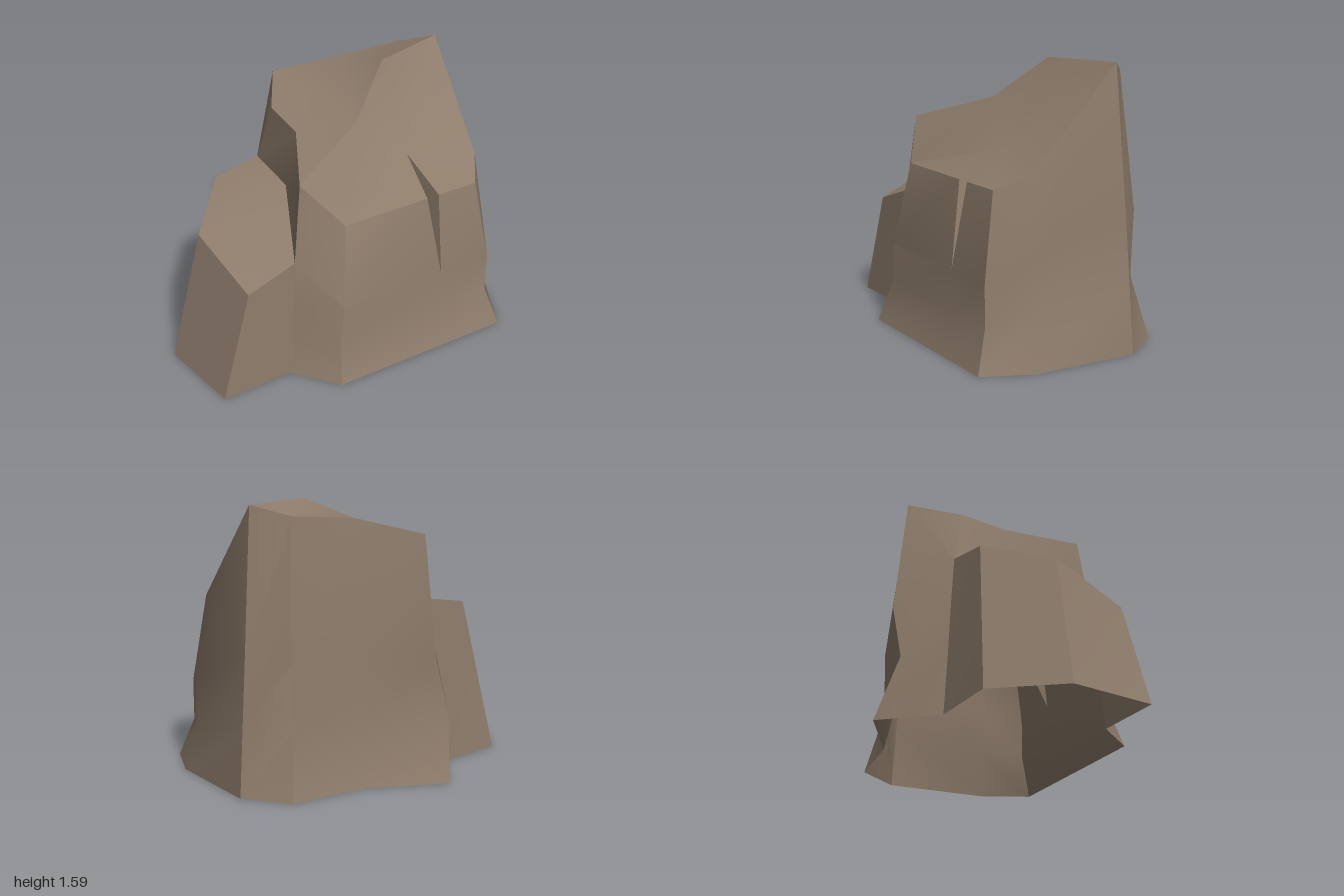
import * as THREE from 'three';
import { toCreasedNormals } from 'three/addons/utils/BufferGeometryUtils.js';

const stone = new THREE.MeshStandardMaterial({ color: 0x8e7c6b, side: THREE.DoubleSide });
stone.name = 'stone';

// Rock edges as columns of [x, y, z] points, from the ground to the rim
const frontLeft = [[-0.30, 0, 0.72], [-0.26, 0.23, 0.64], [-0.24, 0.47, 0.64], [-0.18, 0.95, 0.55]];
const crackFoot = [[0.43, 0, 0.72], [0.43, 0.23, 0.64], [0.43, 0.47, 0.64]];
const crackLeft = [...crackFoot, [0.37, 0.95, 0.55]];
const crackRight = [...crackFoot, [0.45, 0.95, 0.55]];
const frontRight = [[0.83, 0, 0.72], [0.77, 0.23, 0.64], [0.77, 0.47, 0.64], [0.71, 0.95, 0.55]];
const sideFront = [[0.96, 0, 0.45], [0.89, 0.26, 0.42], [0.89, 0.58, 0.41], [0.83, 1.03, 0.38]];
const sideBack = [[1.0, 0, -0.17], [0.97, 0.38, -0.16], [0.94, 0.75, -0.15], [0.87, 1.59, -0.12]];
const backRight = [[0.83, 0, -0.42], [0.76, 0.37, -0.33], [0.77, 0.75, -0.34], [0.71, 1.53, -0.27]];
const backMiddle = [[0.38, 0, -0.48], [0.36, 0.37, -0.40], [0.37, 0.73, -0.41], [0.34, 1.50, -0.34]];
const backLeft = [[-0.05, 0, -0.72], [-0.14, 0.36, -0.61], [-0.03, 0.70, -0.62], [-0.01, 1.40, -0.54]];
const jointBack = [[-0.30, 0, -0.42], [-0.28, 0.36, -0.39], [-0.26, 0.70, -0.365], [-0.24, 0.98, -0.34], [-0.18, 1.32, -0.26]];
const jointMiddle = [[-0.24, 0.95, 0], [-0.18, 1.29, 0.02]];
const jointFront = [[-0.50, 0, 0.47], [-0.48, 0.23, 0.46], [-0.46, 0.47, 0.45], [-0.44, 0.73, 0.44], [-0.38, 1.19, 0.40]];

// Outer corners of the low boulder
const ledgeBack = [[-0.73, 0, -0.40], [-0.53, 0.93, -0.32]];
const ledgeSide = [[-1.0, 0, -0.03], [-0.81, 0.80, 0]];
const ledgeFront = [[-0.93, 0, 0.48], [-0.74, 0.63, 0.45]];

// Points inside the sloping top
const peak = [0.41, 1.585, 0];
const ridge = [0.12, 1.34, 0.18];
const crackTip = [0.41, 1.10, 0.28];

const rim = (column) => column[column.length - 1];

// Triangles between two columns, going counterclockwise around the rock
function wall(a, b) {
  const tris = [];
  let i = 0, j = 0;
  while (i < a.length - 1 || j < b.length - 1) {
    const stepB = j < b.length - 1 && j / (b.length - 1) <= i / (a.length - 1);
    if (stepB) { tris.push([a[i], b[j], b[j + 1]]); j++; }
    else { tris.push([a[i], b[j], a[i + 1]]); i++; }
  }
  return tris;
}

function walls(columns) {
  return columns.slice(1).flatMap((column, i) => wall(columns[i], column));
}

function fan(center, points) {
  return points.slice(1).map((p, i) => [center, points[i], p]);
}

function rockMesh(name, tris) {
  const geometry = new THREE.BufferGeometry();
  geometry.setAttribute('position', new THREE.Float32BufferAttribute(tris.flat(2), 3));
  const mesh = new THREE.Mesh(toCreasedNormals(geometry, 0.6), stone);
  mesh.name = name;
  return mesh;
}

export function createModel() {
  const group = new THREE.Group();
  group.name = 'rock';

  const [A, L, R, B, C, D, E, F, G, H, M, I] = [frontLeft, crackLeft, crackRight, frontRight, sideFront,
    sideBack, backRight, backMiddle, backLeft, jointBack, jointMiddle, jointFront].map(rim);

  // Tall boulder: open below and where the low boulder joins it
  group.add(rockMesh('tallBoulder', [
    ...walls([jointFront, frontLeft, crackLeft]),
    ...walls([crackRight, frontRight, sideFront, sideBack, backRight, backMiddle, backLeft, jointBack]),
    ...walls([jointBack.slice(3), jointMiddle, jointFront.slice(3)]),
    // sloping top
    ...fan(crackTip, [R, B, C, D, peak, ridge, A, L]),
    ...fan(peak, [D, E, F, ridge]),
    ...fan(ridge, [F, G, H, M, I, A]),
  ]));

  // Wedge-shaped crack in the front edge
  group.add(rockMesh('crack', [
    [crackFoot[2], crackTip, L],
    [crackFoot[2], R, crackTip],
  ]));

  // Low boulder leaning against the tall one
  const lowFront = jointFront.slice(0, 4), lowBack = jointBack.slice(0, 4);
  group.add(rockMesh('lowBoulder', [
    ...walls([lowBack, ledgeBack, ledgeSide, ledgeFront, lowFront]),
    ...fan(jointMiddle[0], [rim(lowBack), ...[ledgeBack, ledgeSide, ledgeFront, lowFront].map(rim)]),
  ]));

  return group;
}
